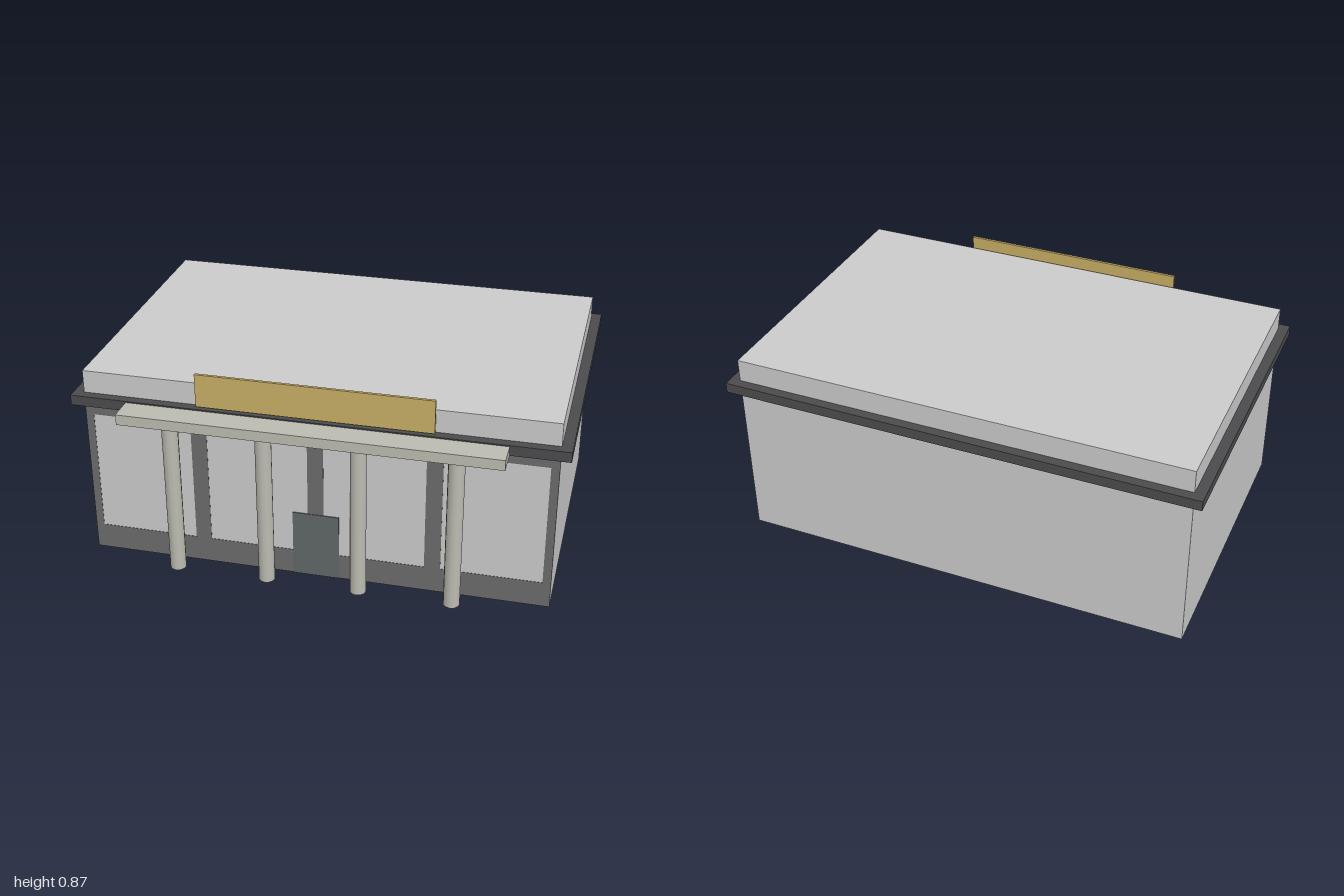
import * as THREE from 'three';

const material = (color) => new THREE.MeshStandardMaterial({ color });

export function createModel() {
  const group = new THREE.Group();
  const grey = material(0xcccccc);
  const dark = material(0x4c4c4e);
  const frameGrey = material(0x6b6b6d);
  const stone = material(0xbcbcb2);

  // Box given by its lower and upper limits on each axis
  const box = (name, mat, [x0, x1], [y0, y1], [z0, z1]) => {
    const mesh = new THREE.Mesh(new THREE.BoxGeometry(x1 - x0, y1 - y0, z1 - z0), mat);
    mesh.position.set((x0 + x1) / 2, (y0 + y1) / 2, (z0 + z1) / 2);
    mesh.name = name;
    group.add(mesh);
  };

  // Main volume, floor slab and roof band
  box('building', grey, [-0.957, 0.957], [0.001, 0.825], [-0.669, 0.562]);
  box('floor', dark, [-0.919, 0.919], [0, 0.02], [-0.635, 0.53]);
  box('roofBand', dark, [-1, 1], [0.686, 0.729], [-0.709, 0.601]);

  // Shopfront frame with four window openings
  const frame = new THREE.Shape([
    new THREE.Vector2(-0.957, 0), new THREE.Vector2(0.957, 0),
    new THREE.Vector2(0.957, 0.686), new THREE.Vector2(-0.957, 0.686),
  ]);
  for (const [a, b] of [[-0.923, -0.513], [-0.447, -0.033], [0.033, 0.447], [0.513, 0.923]]) {
    frame.holes.push(new THREE.Path([
      new THREE.Vector2(a, 0.11), new THREE.Vector2(a, 0.633),
      new THREE.Vector2(b, 0.633), new THREE.Vector2(b, 0.11),
    ]));
  }
  const front = new THREE.Mesh(
    new THREE.ExtrudeGeometry(frame, { depth: 0.002, bevelEnabled: false }), frameGrey);
  front.position.z = 0.5615;
  front.name = 'windowFrame';
  group.add(front);

  // Door and fascia board
  box('door', material(0x5f6866), [-0.096, 0.096], [0, 0.29], [0.556, 0.566]);
  box('fasciaBoard', material(0xc8ae65), [-0.478, 0.478], [0.733, 0.873], [0.573, 0.585]);

  // Porch canopy on four round columns
  box('canopy', stone, [-0.766, 0.766], [0.68, 0.724], [0.562, 0.709]);
  const columnGeometry = new THREE.CylinderGeometry(0.0335, 0.0335, 0.681, 12);
  for (const x of [-0.574, -0.191, 0.191, 0.574]) {
    const column = new THREE.Mesh(columnGeometry, stone);
    column.position.set(x, 0.3405, 0.632);
    column.name = 'column';
    group.add(column);
  }
  return group;
}
